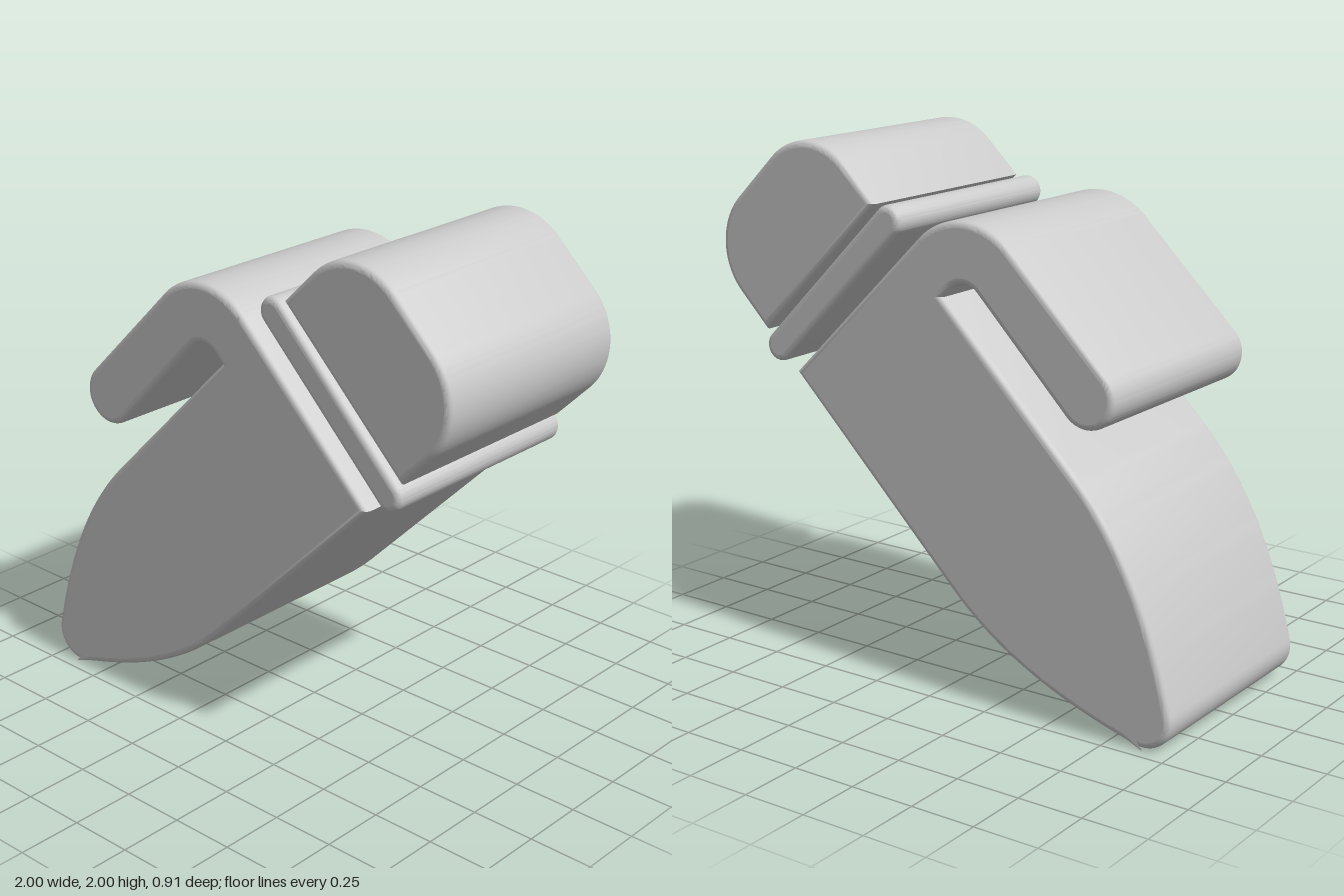
import * as THREE from 'three';
import { toCreasedNormals } from 'three/addons/utils/BufferGeometryUtils.js';

const HALF_DEPTH = 0.455;
const BEVEL = 0.025;
const Q = Math.PI / 4; // 45 degrees, the slant of the pen

// Extrude an outline along z with softly rounded rims and flat faces
function slab(name, shape) {
  const extruded = new THREE.ExtrudeGeometry(shape, {
    depth: 2 * (HALF_DEPTH - BEVEL),
    bevelThickness: BEVEL,
    bevelSize: BEVEL,
    bevelOffset: -BEVEL,
    bevelSegments: 5,
    curveSegments: 20,
  });
  extruded.translate(0, 0, BEVEL - HALF_DEPTH);
  const geometry = toCreasedNormals(extruded, 0.5);

  // Keep front and back faces perfectly flat
  const pos = geometry.attributes.position;
  const normal = geometry.attributes.normal;
  for (let i = 0; i < pos.count; i += 3) {
    const z = [0, 1, 2].map((k) => pos.getZ(i + k));
    if (z.every((v) => Math.abs(v - z[0]) < 1e-5 && Math.abs(v) > HALF_DEPTH - 1e-4)) {
      for (let k = 0; k < 3; k++) normal.setXYZ(i + k, 0, 0, Math.sign(z[0]));
    }
  }
  const mesh = new THREE.Mesh(geometry, new THREE.MeshStandardMaterial({ color: 0xcccccc }));
  mesh.name = name;
  return mesh;
}

// Pointed barrel with the pocket clip folded over its upper side
function barrelShape() {
  const s = new THREE.Shape();
  s.moveTo(0.65, 1.13);
  s.lineTo(-0.075, 0.405);
  s.bezierCurveTo(-0.275, 0.205, -0.545, 0.085, -0.859, 0.003); // lower taper
  s.absarc(-0.885, 0.115, 0.115, -1.34, -3.37, true); // blunt tip
  s.bezierCurveTo(-0.92, 0.46, -0.8, 0.73, -0.6, 0.93); // upper taper
  s.lineTo(-0.035, 1.495);
  s.absarc(-0.125, 1.47, 0.08, Q, 3 * Q, false); // slot end
  s.absarc(-0.64, 1.22, 0.115, -Q, -5 * Q, true); // clip tip
  s.absarc(-0.125, 1.49, 0.285, 3 * Q, Q, true); // clip shoulder
  s.closePath();
  return s;
}

// Thin round-ended band
function bandShape() {
  const s = new THREE.Shape();
  s.absarc(0.21, 1.741, 0.058, Q, 5 * Q, false);
  s.absarc(0.737, 1.215, 0.058, -3 * Q, Q, false);
  s.closePath();
  return s;
}

// End cap with two rounded outer corners
function capShape() {
  const s = new THREE.Shape();
  s.moveTo(0.265, 1.797);
  s.lineTo(0.795, 1.272);
  s.absarc(0.742, 1.583, 0.256, -Q, Q, false);
  s.absarc(0.577, 1.744, 0.256, Q, 3 * Q, false);
  s.closePath();
  return s;
}

export function createModel() {
  const model = new THREE.Group();
  model.name = 'pen';
  model.add(
    slab('barrelWithClip', barrelShape()),
    slab('band', bandShape()),
    slab('endCap', capShape()),
  );
  return model;
}
